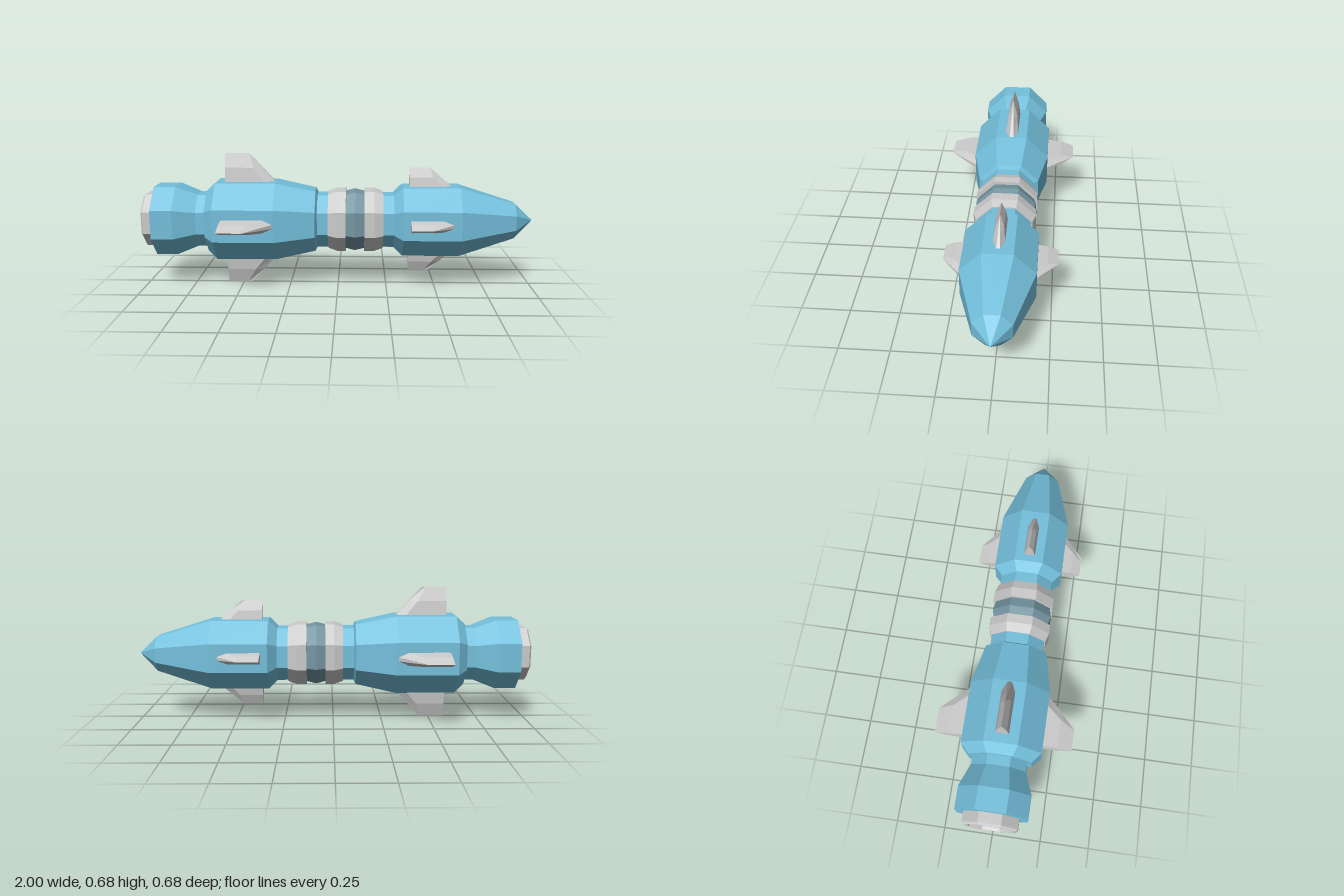
import * as THREE from 'three';

const AXIS_Y = 0.342;
const material = (color) => new THREE.MeshStandardMaterial({ color, flatShading: true });

// Eight-sided hull section along x; profile is [x, distance to flat], tail to nose
function hull(name, profile, mat) {
  const points = profile.map(([x, r]) => new THREE.Vector2(r / Math.cos(Math.PI / 8), x));
  const geometry = new THREE.LatheGeometry(points, 8, Math.PI / 8);
  geometry.rotateZ(-Math.PI / 2);
  const mesh = new THREE.Mesh(geometry, mat);
  mesh.name = name;
  return mesh;
}

// Fin rising along +y, lofted from six-sided sections
// level: [height, back x, shoulder x, front x, half thickness, half front edge]
function finGeometry(levels) {
  const positions = [];
  const index = [];
  for (const [h, xb, xs, xf, t, n] of levels) {
    for (const [x, z] of [[xb, t], [xs, t], [xf, n], [xf, -n], [xs, -t], [xb, -t]]) positions.push(x, h, z);
  }
  for (let l = 0; l < levels.length - 1; l++) {
    for (let i = 0; i < 6; i++) {
      const a = l * 6 + i, b = l * 6 + (i + 1) % 6;
      index.push(a, b, b + 6, a, b + 6, a + 6);
    }
  }
  const geometry = new THREE.BufferGeometry();
  geometry.setAttribute('position', new THREE.Float32BufferAttribute(positions, 3));
  geometry.setIndex(index);
  geometry.computeVertexNormals();
  return geometry;
}

// Four fins around the axis
function finSet(name, levels, mat) {
  const group = new THREE.Group();
  group.name = name;
  const geometry = finGeometry(levels);
  for (let i = 0; i < 4; i++) {
    const fin = new THREE.Mesh(geometry, mat);
    fin.name = 'fin';
    fin.rotation.x = i * Math.PI / 2;
    group.add(fin);
  }
  return group;
}

export function createModel() {
  const teal = material(0x74c0dc);
  const slate = material(0x7596a2);
  const grey = material(0xcccccc);
  const body = new THREE.Group();
  body.name = 'rocket';
  body.position.y = AXIS_Y;

  // Hollow exhaust at the tail
  body.add(hull('nozzle', [
    [-0.88, 0], [-0.88, 0.06], [-1, 0.105], [-1, 0.122], [-0.99, 0.134], [-0.94, 0.134],
  ], grey));

  // Tail flare, neck and main body
  body.add(hull('rearBody', [
    [-0.94, 0.13], [-0.94, 0.176], [-0.83, 0.176], [-0.72, 0.134], [-0.672, 0.134],
    [-0.672, 0.155], [-0.625, 0.198], [-0.32, 0.198], [-0.115, 0.155], [-0.105, 0.134], [-0.05, 0.134],
  ], teal));

  // Banded waist
  body.add(hull('rearRing', [[-0.05, 0.134], [-0.05, 0.14], [-0.005, 0.155], [0.04, 0.155], [0.04, 0.14]], grey));
  body.add(hull('middleRing', [[0.04, 0.14], [0.085, 0.151], [0.088, 0.151], [0.135, 0.14]], slate));
  body.add(hull('frontRing', [[0.135, 0.14], [0.135, 0.155], [0.185, 0.155], [0.23, 0.14], [0.23, 0.134]], grey));

  // Warhead section with pointed nose
  body.add(hull('noseBody', [
    [0.23, 0.134], [0.285, 0.134], [0.33, 0.176], [0.62, 0.176], [0.905, 0.089], [1, 0],
  ], teal));

  body.add(finSet('rearFins', [
    [0.13, -0.58, -0.375, -0.325, 0.033, 0.01],
    [0.198, -0.58, -0.375, -0.325, 0.033, 0.01],
    [0.27, -0.58, -0.435, -0.39, 0.024, 0.006],
    [0.342, -0.58, -0.475, -0.455, 0, 0],
  ], grey));
  body.add(finSet('frontFins', [
    [0.12, 0.365, 0.53, 0.58, 0.028, 0.009],
    [0.176, 0.365, 0.53, 0.58, 0.028, 0.009],
    [0.223, 0.365, 0.485, 0.525, 0.02, 0.005],
    [0.271, 0.365, 0.45, 0.47, 0, 0],
  ], grey));

  const model = new THREE.Group();
  model.add(body);
  return model;
}
